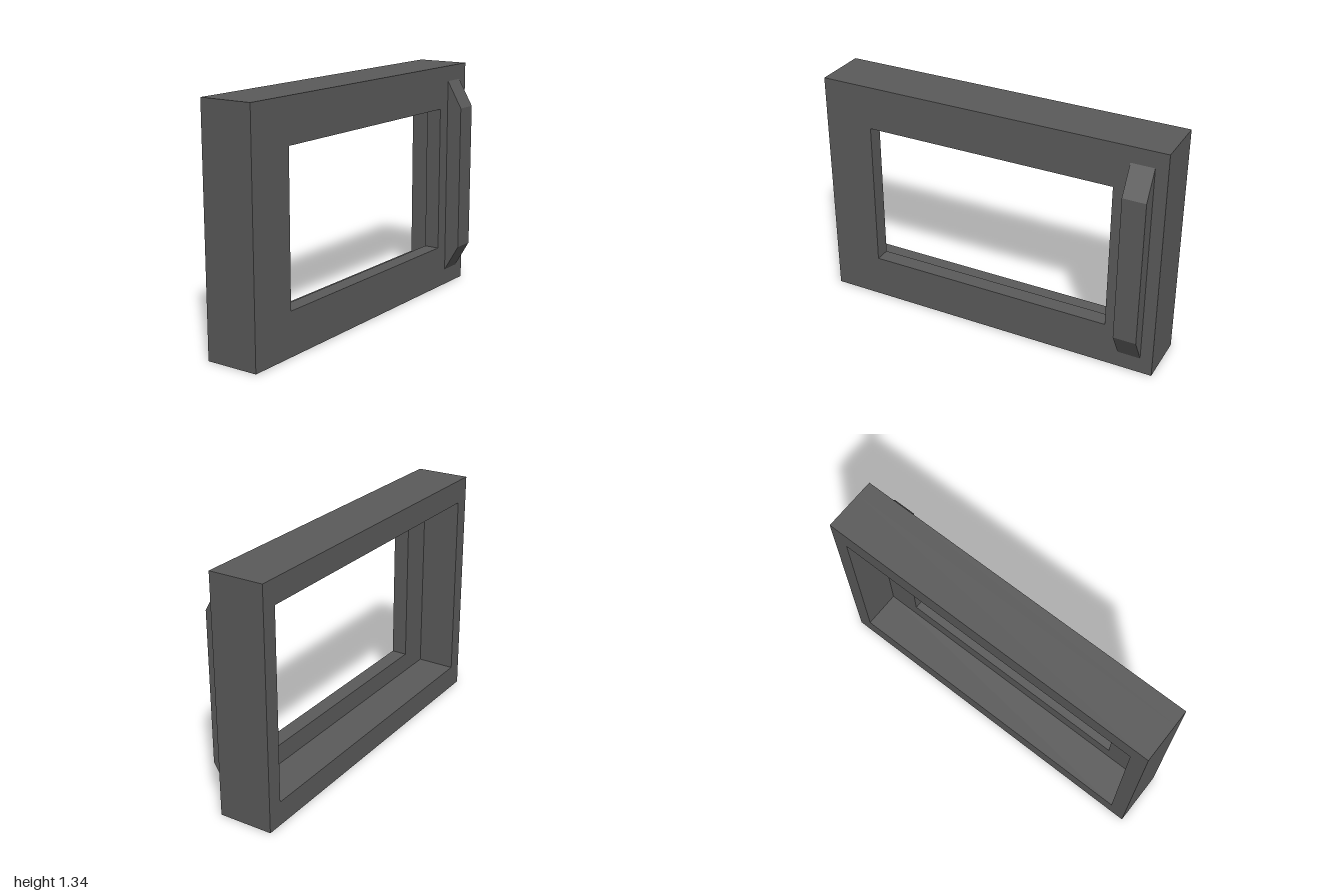
import * as THREE from 'three';

const HEIGHT = 1.34;

// Rectangular ring, centred on x, extruded between two z planes
function ring(name, halfWidth, border, zBack, zFront, material) {
  const rect = (path, hw, y0, y1) => {
    path.moveTo(-hw, y0);
    path.lineTo(hw, y0);
    path.lineTo(hw, y1);
    path.lineTo(-hw, y1);
    path.closePath();
    return path;
  };
  const shape = rect(new THREE.Shape(), 1, 0, HEIGHT);
  shape.holes.push(rect(new THREE.Path(), halfWidth, border, HEIGHT - border));
  const geometry = new THREE.ExtrudeGeometry(shape, { depth: zFront - zBack, bevelEnabled: false });
  geometry.translate(0, 0, zBack);
  const mesh = new THREE.Mesh(geometry, material);
  mesh.name = name;
  return mesh;
}

export function createModel() {
  const group = new THREE.Group();
  group.name = 'windowFrame';
  const grey = new THREE.MeshStandardMaterial({ color: 0x5a5a5a });
  grey.name = 'darkGrey';

  // Front lip with the small opening, rear casing with the wider recess
  group.add(ring('frontFrame', 0.717, 0.247, 0.02, 0.11, grey));
  group.add(ring('rearCasing', 0.91, 0.135, -0.2, 0.02, grey));

  // Upright handle with sloping ends: side profile swept across x
  const profile = new THREE.Shape([
    [-0.11, 0.093], [-0.11, 1.25], [-0.2, 1.095], [-0.2, 0.248],
  ].map(([x, y]) => new THREE.Vector2(x, y)));
  const handleGeometry = new THREE.ExtrudeGeometry(profile, { depth: 0.13, bevelEnabled: false });
  handleGeometry.rotateY(Math.PI / 2);
  handleGeometry.translate(0.8, 0, 0);
  const handle = new THREE.Mesh(handleGeometry, grey);
  handle.name = 'handle';
  group.add(handle);

  return group;
}
